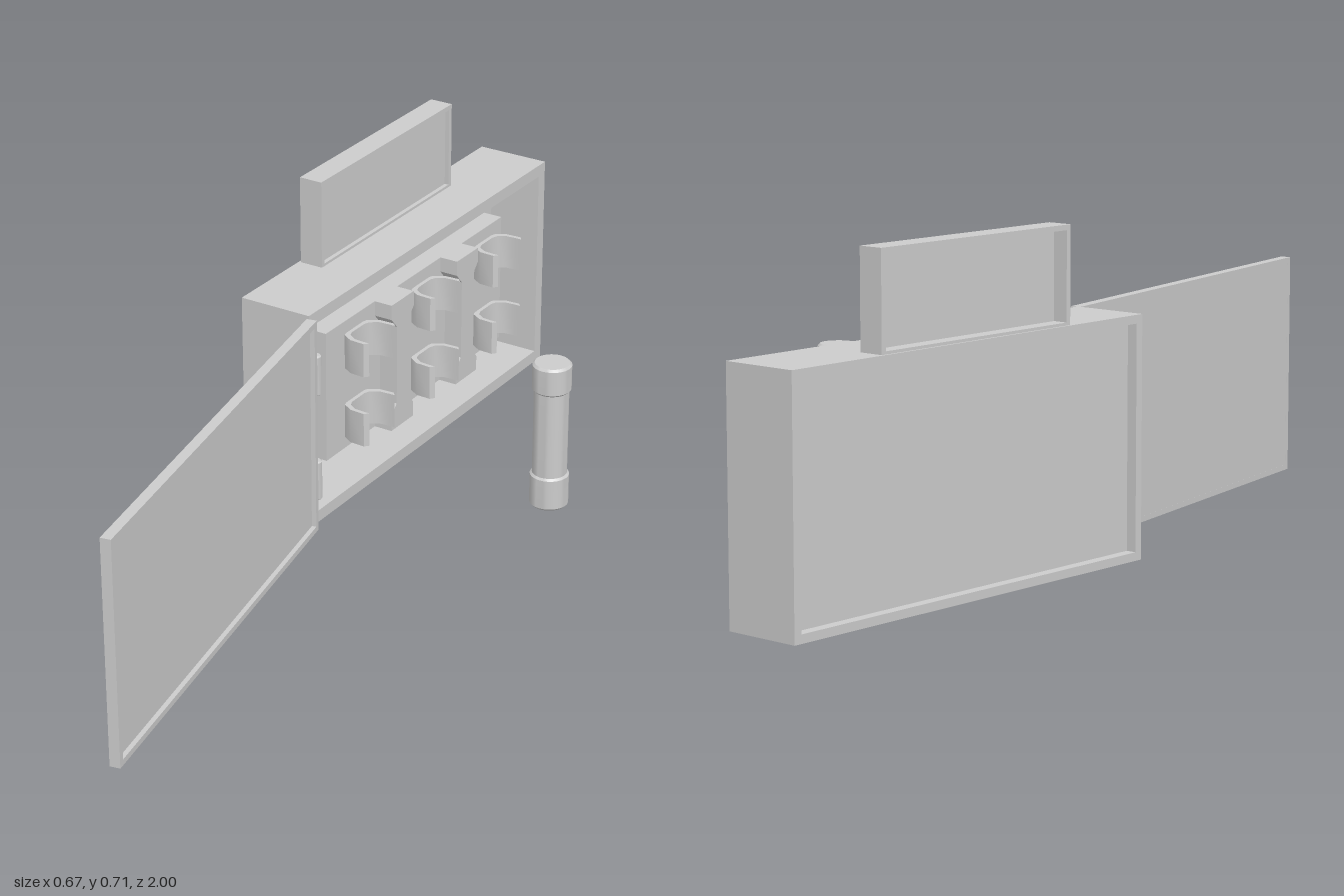
import * as THREE from 'three';
import { toCreasedNormals } from 'three/addons/utils/BufferGeometryUtils.js';

const mat = new THREE.MeshStandardMaterial({ color: 0xcccccc });

function add(parent, name, geo, x = 0, y = 0, z = 0) {
  const m = new THREE.Mesh(geo, mat);
  m.name = name;
  m.position.set(x, y, z);
  parent.add(m);
  return m;
}

// Box given by its limits on each axis
function block(parent, name, [x0, x1], [y0, y1], [z0, z1]) {
  return add(parent, name, new THREE.BoxGeometry(x1 - x0, y1 - y0, z1 - z0),
    (x0 + x1) / 2, (y0 + y1) / 2, (z0 + z1) / 2);
}

function rectPoints(w, h) {
  return [[-w, -h], [w, -h], [w, h], [-w, h]].map(([a, b]) => new THREE.Vector2(a / 2, b / 2));
}

// Rectangular frame open along x, with wall thickness t
function frame(parent, name, [x0, x1], [y0, y1], [z0, z1], t) {
  const w = z1 - z0, h = y1 - y0;
  const shape = new THREE.Shape(rectPoints(w, h));
  shape.holes.push(new THREE.Path(rectPoints(w - 2 * t, h - 2 * t).reverse()));
  const geo = new THREE.ExtrudeGeometry(shape, { depth: x1 - x0, bevelEnabled: false });
  geo.rotateY(Math.PI / 2);
  return add(parent, name, geo, x0, (y0 + y1) / 2, (z0 + z1) / 2);
}

// Spring clip: a U section, open towards +x, extruded upwards
function clipGeometry(height) {
  const outer = [[-0.052, 0.074], [-0.062, 0.066], [-0.06, 0.03], [-0.045, 0.006], [-0.025, 0]];
  const inner = [[-0.025, 0.012], [-0.038, 0.017], [-0.05, 0.035], [-0.052, 0.06]];
  const half = [...outer, ...inner];
  const left = half.slice(0, outer.length);
  const mirror = (pts) => pts.map(([u, v]) => [-u, v]).reverse();
  const pts = [...left, ...mirror(left), ...mirror(inner), ...inner];
  const geo = new THREE.ExtrudeGeometry(
    new THREE.Shape(pts.map(([u, v]) => new THREE.Vector2(u, v))),
    { depth: height, bevelEnabled: false });
  geo.applyMatrix4(new THREE.Matrix4().makeBasis(
    new THREE.Vector3(0, 0, 1), new THREE.Vector3(1, 0, 0), new THREE.Vector3(0, 1, 0)));
  return toCreasedNormals(geo, 0.6);
}

// Divider: a bar with flared ends, extruded along x
function dividerGeometry(depth) {
  const a = 0.046, b = 0.024, h = 0.155;
  const right = [[a, -h], [a, -h + 0.035], [b, -h + 0.06], [b, h - 0.06], [a, h - 0.035], [a, h]];
  const pts = [...right, ...right.map(([u, v]) => [-u, v]).reverse()];
  const geo = new THREE.ExtrudeGeometry(
    new THREE.Shape(pts.map(([u, v]) => new THREE.Vector2(u, v))),
    { depth, bevelEnabled: false });
  return geo.rotateY(Math.PI / 2);
}

// Round part with small bevels at both ends
function drum(parent, name, r, y0, y1, bevel, x, z) {
  const pts = [[0, y0], [r - bevel, y0], [r, y0 + bevel], [r, y1 - bevel], [r - bevel, y1], [0, y1]]
    .map(([a, b]) => new THREE.Vector2(a, b));
  return add(parent, name, toCreasedNormals(new THREE.LatheGeometry(pts, 32), 0.6), x, 0, z);
}

function createModel() {
  const model = new THREE.Group();
  model.name = 'fuseBox';

  // Housing: deep cavity at the door side, shallow recess behind
  const housing = new THREE.Group();
  housing.name = 'housing';
  model.add(housing);
  frame(housing, 'housingWalls', [-0.31, -0.163], [0, 0.51], [-1, 0], 0.028);
  frame(housing, 'rearRim', [-0.335, -0.31], [0, 0.51], [-1, 0], 0.018);
  block(housing, 'rearPanel', [-0.312, -0.29], [0.01, 0.5], [-0.99, -0.01]);

  // Mounting plate with dividers and clips
  block(housing, 'basePlate', [-0.291, -0.2], [0.1, 0.41], [-0.865, -0.12]);
  for (const z of [-0.363, -0.64]) {
    add(housing, 'divider', dividerGeometry(0.045), -0.201, 0.255, z);
  }
  for (const z of [-0.235, -0.51, -0.785]) {
    for (const y of [0.13, 0.3]) add(housing, 'clip', clipGeometry(0.08), -0.203, y, z);
  }

  // Framed plate standing on the housing
  const plate = new THREE.Group();
  plate.name = 'topPlate';
  model.add(plate);
  frame(plate, 'topPlateFrame', [-0.33, -0.275], [0.505, 0.711], [-0.76, -0.22], 0.011);
  block(plate, 'topPlatePanel', [-0.297, -0.285], [0.51, 0.705], [-0.755, -0.225]);

  // Hinge knuckles
  for (const y of [0.12, 0.373]) {
    drum(model, 'hinge', 0.013, y - 0.047, y + 0.047, 0.003, -0.152, -0.006);
  }

  // Door, swung open about the hinge line
  const door = new THREE.Group();
  door.name = 'door';
  door.position.set(-0.152, 0, 0);
  door.rotation.y = 0.197;
  model.add(door);
  frame(door, 'doorFrame', [-0.0115, 0.0115], [0.005, 0.508], [0.008, 1.017], 0.013);
  block(door, 'doorPanel', [-0.0113, 0.001], [0.01, 0.503], [0.013, 1.012]);

  // Loose cartridge fuse
  const fuse = new THREE.Group();
  fuse.name = 'fuse';
  model.add(fuse);
  drum(fuse, 'fuseBody', 0.038, 0.1, 0.4, 0.002, 0.288, -0.25);
  drum(fuse, 'fuseLowerCap', 0.0425, 0.08, 0.158, 0.005, 0.288, -0.25);
  drum(fuse, 'fuseUpperCap', 0.0425, 0.353, 0.418, 0.005, 0.288, -0.25);

  return model;
}

export { createModel };
